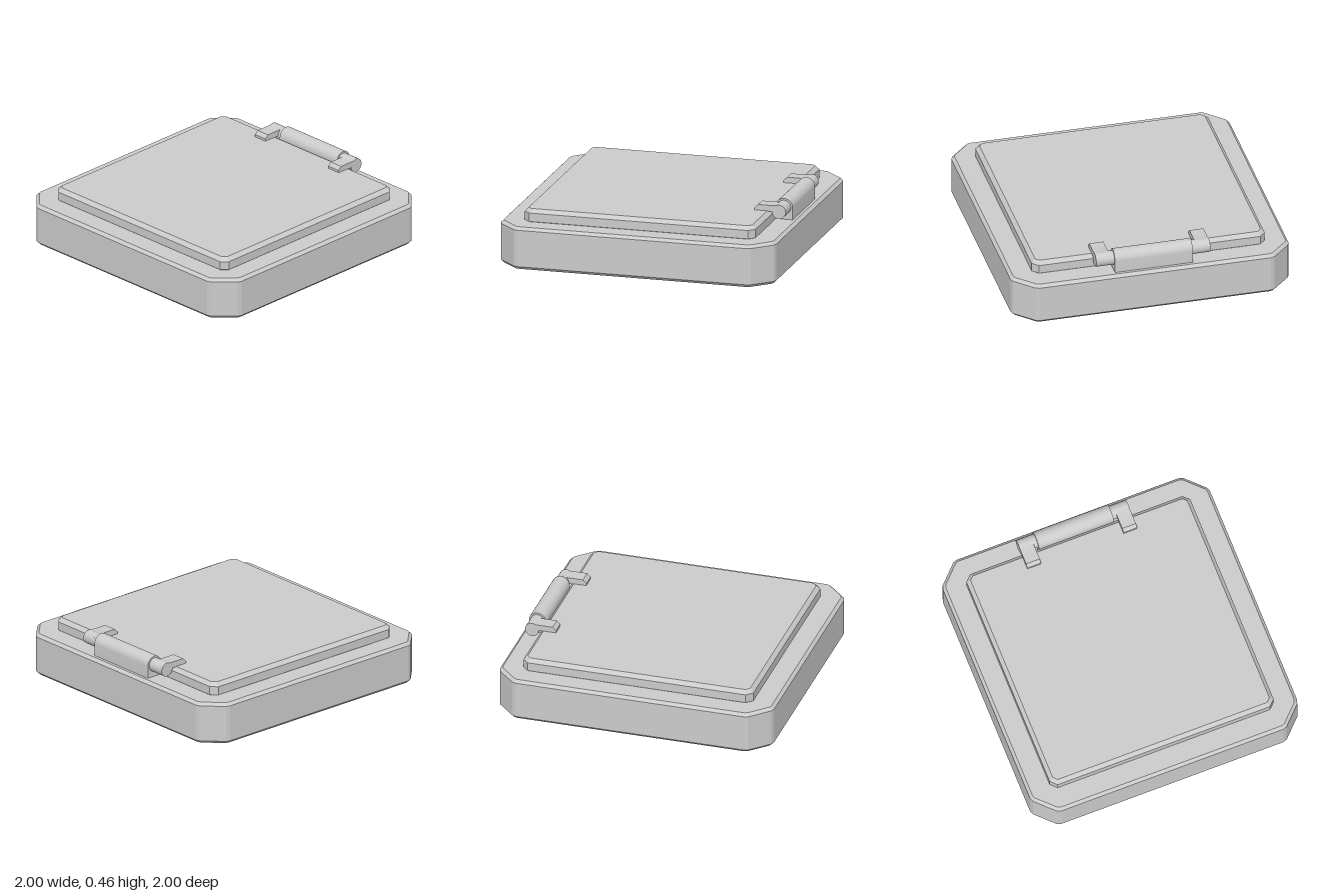
import * as THREE from 'three';
import { toCreasedNormals } from 'three/addons/utils/BufferGeometryUtils.js';

const material = new THREE.MeshStandardMaterial({ color: 0xcccccc });

function addMesh(group, name, geometry) {
  const mesh = new THREE.Mesh(geometry, material);
  mesh.name = name;
  group.add(mesh);
}

// Square slab with cut corners and chamfered top and bottom rims.
// corner: points of one corner, from the +x side round to the +z side.
function slab(corner, y0, y1, bevel) {
  const points = [];
  for (let i = 0; i < 4; i++) {
    for (const [x, y] of corner) {
      points.push(new THREE.Vector2(x, y).rotateAround(new THREE.Vector2(), i * Math.PI / 2));
    }
  }
  const geometry = new THREE.ExtrudeGeometry(new THREE.Shape(points), {
    depth: y1 - y0 - 2 * bevel, bevelEnabled: true, bevelSegments: 1,
    bevelSize: bevel, bevelThickness: bevel, bevelOffset: -bevel,
  });
  return geometry.rotateX(-Math.PI / 2).translate(0, y0 + bevel, 0);
}

// Side profile drawn in (z, y), extruded along x and centred on cx.
function sideProfile(shape, width, cx) {
  const geometry = new THREE.ExtrudeGeometry(shape, { depth: width, bevelEnabled: false, curveSegments: 20 });
  geometry.translate(0, 0, -width / 2).rotateY(-Math.PI / 2).translate(cx, 0, 0);
  return toCreasedNormals(geometry, 0.5);
}

export function createModel() {
  const model = new THREE.Group();
  model.name = 'hatch';

  // Base and raised lid
  addMesh(model, 'base', slab([[1, 0.83], [0.99, 0.86], [0.86, 0.99], [0.83, 1]], 0, 0.305, 0.021));
  addMesh(model, 'lid', slab([[0.838, 0.795], [0.795, 0.838]], 0.28, 0.395, 0.027));

  // Hinge on the rear edge
  const hinge = new THREE.Group();
  hinge.name = 'hinge';
  model.add(hinge);
  const axisZ = -0.895, axisY = 0.393, barrelR = 0.063, pinR = 0.05;

  // Barrel: rounded top on a block that stands on the base
  const barrel = new THREE.Shape();
  barrel.moveTo(axisZ - barrelR, 0.295);
  barrel.lineTo(axisZ + barrelR, 0.295);
  barrel.lineTo(axisZ + barrelR, axisY);
  barrel.absarc(axisZ, axisY, barrelR, 0, Math.PI, false);
  addMesh(hinge, 'hingeBarrel', sideProfile(barrel, 0.56, 0));

  // Pin through barrel and straps
  const pin = new THREE.CylinderGeometry(pinR, pinR, 0.81, 32);
  addMesh(hinge, 'hingePin', pin.rotateZ(Math.PI / 2).translate(0, axisY, axisZ));

  // Straps: curled round the pin and lying on the lid
  const strap = new THREE.Shape();
  strap.moveTo(-0.72, 0.39);
  strap.lineTo(-0.72, 0.412);
  strap.lineTo(-0.744, 0.436);
  strap.lineTo(axisZ + 0.026, 0.436);
  strap.absarc(axisZ, axisY, pinR, Math.PI / 3, Math.PI * 2, false);
  for (const side of [-1, 1]) {
    addMesh(hinge, side > 0 ? 'leftStrap' : 'rightStrap', sideProfile(strap, 0.102, side * 0.36));
  }
  return model;
}
